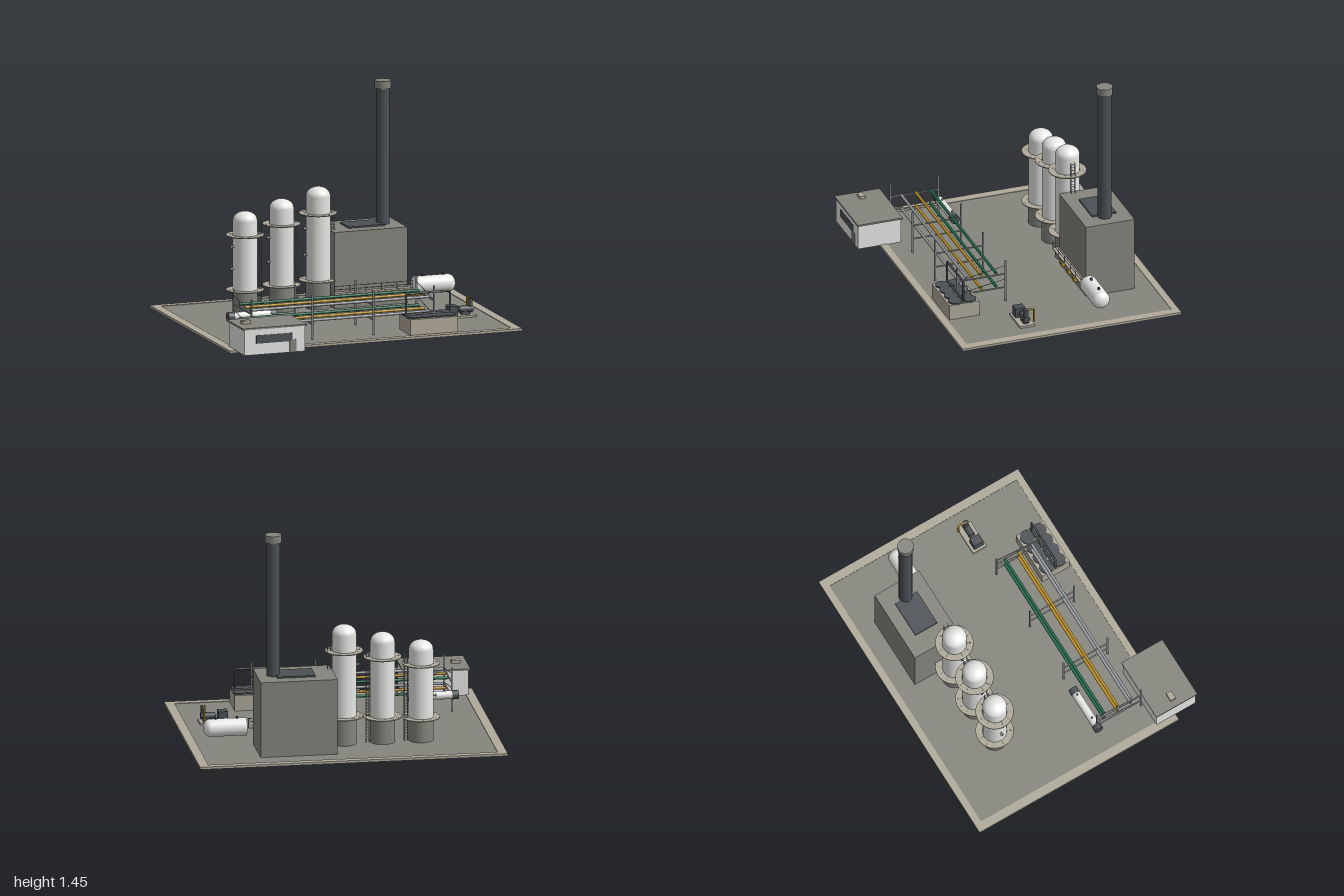
import * as THREE from 'three';

const mat = (name, hex) => {
  const m = new THREE.MeshStandardMaterial({ color: hex });
  m.name = name;
  return m;
};

export function createModel() {
  const root = new THREE.Group();
  root.name = 'processPlant';
  const paving = mat('paving grey', 0x85857e);
  const concrete = mat('concrete', 0xb0a99b);
  const white = mat('vessel white', 0xe8e8e6);
  const dark = mat('dark steel', 0x4b5156);
  const steel = mat('grey steel', 0x9a9da0);
  const yellow = mat('pipe yellow', 0xba9026);
  const green = mat('pipe green', 0x22694c);

  const group = (name, x = 0, y = 0, z = 0) => {
    const g = new THREE.Group();
    g.name = name;
    g.position.set(x, y, z);
    root.add(g);
    return g;
  };
  const add = (parent, name, geo, m, x = 0, y = 0, z = 0) => {
    const mesh = new THREE.Mesh(geo, m);
    mesh.name = name;
    mesh.position.set(x, y, z);
    parent.add(mesh);
    return mesh;
  };
  // Box given by its minimum and maximum on each axis
  const box = (parent, name, m, x0, x1, y0, y1, z0, z1) =>
    add(parent, name, new THREE.BoxGeometry(x1 - x0, y1 - y0, z1 - z0), m,
      (x0 + x1) / 2, (y0 + y1) / 2, (z0 + z1) / 2);
  // Straight round bar between two points
  const rod = (parent, name, m, a, b, r, sides = 12) => {
    const p = new THREE.Vector3(...a), q = new THREE.Vector3(...b);
    const mesh = add(parent, name, new THREE.CylinderGeometry(r, r, p.distanceTo(q), sides), m);
    mesh.position.copy(p).add(q).multiplyScalar(0.5);
    mesh.quaternion.setFromUnitVectors(new THREE.Vector3(0, 1, 0), q.sub(p).normalize());
    return mesh;
  };
  // Bent pipe with short rounded corners
  const pipe = (parent, name, m, pts, r, bend) => {
    const v = pts.map(p => new THREE.Vector3(...p));
    const path = new THREE.CurvePath();
    let from = v[0];
    for (let i = 1; i < v.length - 1; i++) {
      const a = v[i].clone().add(v[i - 1].clone().sub(v[i]).setLength(bend));
      const b = v[i].clone().add(v[i + 1].clone().sub(v[i]).setLength(bend));
      path.add(new THREE.LineCurve3(from, a));
      path.add(new THREE.QuadraticBezierCurve3(a, v[i], b));
      from = b;
    }
    path.add(new THREE.LineCurve3(from, v[v.length - 1]));
    return add(parent, name, new THREE.TubeGeometry(path, 60, r, 10), m);
  };
  // Vertical shell with an elliptical dome on top
  const domed = (r, y0, y1, domeH) => {
    const pts = [new THREE.Vector2(0, y0), new THREE.Vector2(r, y0), new THREE.Vector2(r, y0 + 0.0005)];
    for (let i = 0; i <= 10; i++) {
      const a = i / 10 * Math.PI / 2;
      pts.push(new THREE.Vector2(i === 10 ? 0 : r * Math.cos(a), y1 - domeH + domeH * Math.sin(a)));
    }
    return new THREE.LatheGeometry(pts, 32);
  };

  // Concrete slab with a paved field and raised curb
  const base = group('base');
  box(base, 'slab', concrete, -1, 1, 0, 0.011, -0.827, 0.669);
  box(base, 'paving', paving, -0.94, 0.94, 0.011, 0.0125, -0.78, 0.622);
  for (const s of [-1, 1]) {
    box(base, 'sideCurb', concrete, s * 0.97 - 0.03, s * 0.97 + 0.03, 0.011, 0.016, -0.827, 0.669);
    const z = -0.079 + s * 0.7245;
    box(base, 'endCurb', concrete, -0.94, 0.94, 0.011, 0.016, z - 0.0235, z + 0.0235);
  }
  const G = 0.012;

  // Three columns with skirts, ring platforms, ladders and nozzles
  [[-0.5, 0.68, 0.525, 0.165], [-0.25, 0.743, 0.58, 0.18], [0, 0.805, 0.632, 0.195]]
    .forEach(([x, top, hi, lo]) => {
      const c = group('column', x, 0, -0.412);
      add(c, 'skirt', new THREE.CylinderGeometry(0.081, 0.081, lo - G, 32), paving, 0, (lo + G) / 2, 0);
      add(c, 'shell', domed(0.079, lo - 0.005, top, 0.06), white);
      for (const y of [lo, hi]) {
        const ring = new THREE.Shape().absarc(0, 0, 0.123, 0, Math.PI * 2);
        ring.holes.push(new THREE.Path().absarc(0, 0, 0.08, 0, Math.PI * 2, true));
        const geo = new THREE.ExtrudeGeometry(ring, { depth: 0.006, bevelEnabled: false, curveSegments: 24 });
        add(c, 'ringPlatform', geo.rotateX(-Math.PI / 2), concrete, 0, y - 0.003, 0);
        for (let i = 0; i < 12; i++) {
          const a = i * Math.PI / 6, p = Math.cos(a), q = Math.sin(a);
          rod(c, 'platformBracket', steel, [0.078 * p, y + 0.001, 0.078 * q],
            [0.108 * p, y + 0.001, 0.108 * q], 0.003, 6);
        }
      }
      const lt = top - 0.078;
      for (const z of [-0.014, 0.014]) {
        rod(c, 'ladderRail', steel, [0.088, G, z], [0.088, lt, z], 0.002, 6);
        rod(c, 'ladderRail', steel, [0.108, G, z], [0.108, lt, z], 0.002, 6);
      }
      for (let y = 0.03; y < lt; y += 0.02) {
        rod(c, 'ladderRung', steel, [0.088, y, -0.014], [0.088, y, 0.014], 0.0015, 5);
        for (const z of [-0.014, 0.014]) {
          rod(c, 'ladderHoop', steel, [0.088, y, z], [0.108, y, z], 0.0015, 5);
        }
      }
      for (const y of [top * 0.665, top * 0.45]) {
        rod(c, 'nozzle', steel, [-0.07, y, 0], [-0.092, y, 0], 0.007);
        rod(c, 'nozzleFlange', steel, [-0.092, y, 0], [-0.1, y, 0], 0.01);
      }
    });

  // Fired heater: casing, roof hatch, stack, front walkway and burners
  const heater = group('heater');
  box(heater, 'casing', paving, 0.08, 0.58, G, 0.513, -0.66, -0.328);
  box(heater, 'roofHatch', dark, 0.21, 0.46, 0.513, 0.523, -0.578, -0.413);
  rod(heater, 'stack', dark, [0.473, 0.513, -0.493], [0.473, 1.405, -0.493], 0.044, 24);
  rod(heater, 'stackCap', paving, [0.473, 1.403, -0.493], [0.473, 1.453, -0.493], 0.053, 20);
  box(heater, 'walkway', concrete, 0.064, 0.606, 0.112, 0.122, -0.33, -0.286);
  for (const y of [0.145, 0.167]) {
    rod(heater, 'walkwayRail', steel, [0.066, y, -0.289], [0.604, y, -0.289], 0.0025, 6);
  }
  for (let i = 0; i < 6; i++) {
    const x = 0.067 + i * 0.107;
    rod(heater, 'railPost', steel, [x, 0.12, -0.289], [x, 0.167, -0.289], 0.0025, 6);
  }
  for (const x of [0.183, 0.298, 0.413]) {
    box(heater, 'burner', yellow, x - 0.013, x + 0.013, 0.045, 0.078, -0.33, -0.302);
  }

  // Horizontal drum: flat end on the right, domed end on the left
  const drum = group('drum', 0.623, 0.127, -0.327);
  add(drum, 'drumShell', domed(0.058, 0, 0.28, 0.045).rotateZ(-Math.PI / 2), white);
  for (const x of [0.06, 0.2]) {
    rod(drum, 'drumNozzle', dark, [x, 0.05, 0], [x, 0.07, 0], 0.008);
  }

  // Pipe rack: portals with two beam levels and three colours of pipe
  const rack = group('pipeRack');
  for (const x of [-0.793, -0.377, 0.039, 0.455]) {
    for (const z of [0.179, 0.508]) {
      box(rack, 'rackPost', steel, x - 0.005, x + 0.005, G, 0.305, z - 0.005, z + 0.005);
    }
    for (const y of [0.112, 0.208]) {
      box(rack, 'rackBeam', steel, x - 0.004, x + 0.004, y - 0.004, y + 0.004, 0.179, 0.508);
    }
  }
  for (const x of [-0.793, 0.455]) {
    for (const y of [0.115, 0.21]) rod(rack, 'rackBrace', steel, [x, y, 0.508], [x, y + 0.056, 0.179], 0.0025, 6);
  }
  [[0.44, steel], [0.34, yellow], [0.24, green]].forEach(([z, m]) => {
    for (const y of [0.125, 0.221]) rod(rack, 'rackPipe', m, [-0.78, y, z], [0.45, y, z], 0.0095, 14);
  });

  // Heat exchanger beside the rack
  const ex = group('heatExchanger', 0, 0.127, 0.171);
  rod(ex, 'exchangerShell', white, [-0.8, 0, 0], [-0.535, 0, 0], 0.027, 24);
  rod(ex, 'exchangerHead', dark, [-0.834, 0, 0], [-0.792, 0, 0], 0.03, 24);
  rod(ex, 'exchangerHead', dark, [-0.545, 0, 0], [-0.503, 0, 0], 0.03, 24);
  for (const x of [-0.745, -0.56]) rod(ex, 'exchangerNozzle', steel, [x, 0.02, 0], [x, 0.038, 0], 0.007);

  // Air cooler with eight fans and an arched header pipe
  const cooler = group('airCooler');
  box(cooler, 'coolerBox', concrete, 0.258, 0.583, G, 0.115, 0.403, 0.608);
  for (let i = 0; i < 4; i++) {
    for (const z of [0.46, 0.551]) {
      const x = 0.302 + i * 0.079;
      rod(cooler, 'fan', dark, [x, 0.11, z], [x, 0.124, z], 0.047, 20);
    }
  }
  pipe(cooler, 'headerPipe', dark,
    [[0.263, 0.115, 0.506], [0.263, 0.264, 0.506], [0.564, 0.264, 0.506], [0.564, 0.115, 0.506]], 0.007, 0.012);
  rod(cooler, 'lowerHeader', dark, [0.263, 0.126, 0.506], [0.578, 0.126, 0.506], 0.007);

  // Pump skid
  const pump = group('pumpSkid');
  box(pump, 'skidBase', concrete, 0.65, 0.852, G, 0.026, 0.122, 0.222);
  box(pump, 'pumpMotor', dark, 0.667, 0.729, 0.026, 0.09, 0.141, 0.208);
  rod(pump, 'pumpCasing', dark, [0.748, 0.06, 0.172], [0.842, 0.06, 0.172], 0.022, 20);
  rod(pump, 'pumpShaft', steel, [0.72, 0.06, 0.172], [0.75, 0.06, 0.172], 0.007);
  box(pump, 'pumpFoot', dark, 0.762, 0.827, 0.026, 0.05, 0.156, 0.188);
  rod(pump, 'dischargeNeck', dark, [0.825, 0.06, 0.172], [0.825, 0.128, 0.172], 0.017, 16);
  pipe(pump, 'dischargePipe', yellow,
    [[0.826, 0.126, 0.172], [0.826, 0.126, 0.117], [0.826, 0.035, 0.117]], 0.0065, 0.006);

  // Control building
  const hut = group('controlBuilding');
  box(hut, 'walls', white, -0.957, -0.542, G, 0.18, 0.527, 0.82);
  box(hut, 'roof', paving, -0.968, -0.532, 0.179, 0.19, 0.519, 0.827);
  box(hut, 'roofVent', concrete, -0.924, -0.866, 0.19, 0.21, 0.653, 0.69);
  box(hut, 'window', dark, -0.877, -0.628, 0.085, 0.14, 0.818, 0.822);
  box(hut, 'door', paving, -0.648, -0.605, G, 0.095, 0.818, 0.826);

  return root;
}
